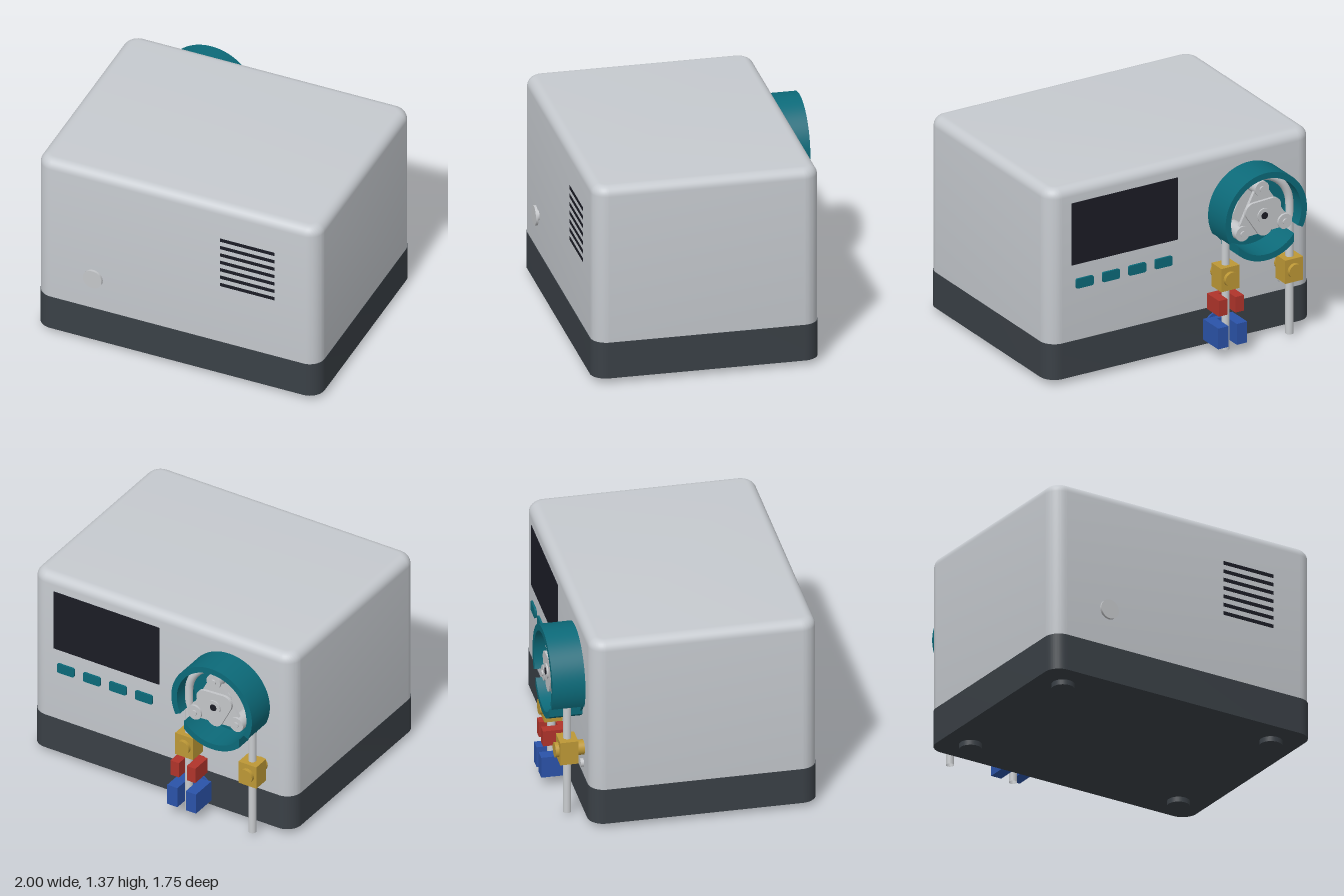
import * as THREE from 'three';
import { toCreasedNormals } from 'three/addons/utils/BufferGeometryUtils.js';

const material = (name, color, side = THREE.FrontSide) => {
  const m = new THREE.MeshStandardMaterial({ color, side });
  m.name = name;
  return m;
};

export function createModel() {
  const model = new THREE.Group();
  model.name = 'pumpUnit';
  const grey = material('housing grey', 0xc6cacf);
  const dark = material('base charcoal', 0x3a4046);
  const black = material('screen black', 0x1b1c25);
  const teal = material('teal', 0x0c6a79);
  const silver = material('silver', 0xc4c6c9);
  const tubing = material('tubing', 0xc9cccf, THREE.DoubleSide);
  const brass = material('brass', 0xbd9836);
  const red = material('red', 0xb0342b);
  const blue = material('blue', 0x2b53a9);

  const add = (name, geometry, mat, parent = model) => {
    const mesh = new THREE.Mesh(geometry, mat);
    mesh.name = name;
    parent.add(mesh);
    return mesh;
  };
  // Box given by its limits on each axis
  const box = (name, mat, [x0, x1], [y0, y1], [z0, z1], parent) =>
    add(name, new THREE.BoxGeometry(x1 - x0, y1 - y0, z1 - z0), mat, parent)
      .position.set((x0 + x1) / 2, (y0 + y1) / 2, (z0 + z1) / 2);
  // Cylinder along z between z0 and z1
  const rod = (name, mat, r, x, y, z0, z1, parent) =>
    add(name, new THREE.CylinderGeometry(r, r, z1 - z0, 40).rotateX(Math.PI / 2), mat, parent)
      .position.set(x, y, (z0 + z1) / 2);
  // Shape extruded along z between z0 and z1
  const slab = (name, mat, shape, x, y, z0, z1, parent) =>
    add(name, toCreasedNormals(new THREE.ExtrudeGeometry(shape,
      { depth: z1 - z0, bevelEnabled: false, curveSegments: 32 }), 0.6), mat, parent)
      .position.set(x, y, z0);
  const roundedRect = (hw, hh, r) => {
    const s = new THREE.Shape();
    s.absarc(hw - r, hh - r, r, 0, Math.PI / 2);
    s.absarc(-hw + r, hh - r, r, Math.PI / 2, Math.PI);
    s.absarc(-hw + r, -hh + r, r, Math.PI, Math.PI * 1.5);
    s.absarc(hw - r, -hh + r, r, Math.PI * 1.5, Math.PI * 2);
    return s;
  };

  // Housing: rounded footprint with softened top edge; lower bevel sits inside the base
  const midZ = 0.092, bevel = 0.065;
  const shell = new THREE.ExtrudeGeometry(roundedRect(0.998 - bevel, 0.75 - bevel, 0.04), {
    depth: 1.37 - 0.285 - bevel, bevelSize: bevel, bevelThickness: bevel, bevelSegments: 8, curveSegments: 10,
  }).rotateX(-Math.PI / 2);
  add('housing', toCreasedNormals(shell, 0.5), grey).position.set(0, 0.285, midZ);
  const tray = new THREE.ExtrudeGeometry(roundedRect(1, 0.754, 0.105),
    { depth: 0.25, bevelEnabled: false, curveSegments: 12 }).rotateX(-Math.PI / 2);
  add('base', toCreasedNormals(tray, 0.5), dark).position.set(0, 0.035, midZ);

  // Feet
  for (const x of [-0.8, 0.8]) for (const z of [midZ - 0.55, midZ + 0.55]) {
    add('foot', new THREE.CylinderGeometry(0.075, 0.075, 0.04, 32), dark).position.set(x, 0.02, z);
  }

  // Front vents and knob
  for (let i = 0; i < 7; i++) {
    const y = 0.745 + i * 0.0595;
    box('ventSlot', black, [0.305, 0.69], [y - 0.0125, y + 0.0125], [0.838, 0.844]);
  }
  rod('knobStem', silver, 0.035, -0.585, 0.535, 0.835, 0.858);
  rod('knob', silver, 0.067, -0.585, 0.535, 0.856, 0.873);

  // Rear screen and buttons
  box('screen', black, [0.02, 0.825], [0.82, 1.257], [-0.663, -0.655]);
  for (let i = 0; i < 4; i++) {
    slab('button', teal, roundedRect(0.065, 0.034, 0.012), 0.133 + i * 0.199, 0.685, -0.672, -0.65);
  }

  // Pump ring: upper arc and lower arc, parted by two vertical slots for the tubing
  const pump = new THREE.Group();
  pump.name = 'pumpHead';
  pump.position.set(-0.517, 0.937, 0);
  model.add(pump);
  const R = 0.308, r = 0.266, wide = 0.277, narrow = 0.21;
  const upper = new THREE.Shape();
  const a0 = -Math.acos(wide / R);
  upper.absarc(0, 0, R, a0, Math.PI - a0);
  upper.absarc(0, 0, r, Math.PI - a0, a0, true);
  slab('upperRing', teal, upper, 0, 0, -0.875, -0.655, pump);
  const lower = new THREE.Shape();
  const b0 = Math.acos(narrow / R), b1 = Math.acos(narrow / r);
  lower.absarc(0, 0, R, b0 - Math.PI, -b0);
  lower.absarc(0, 0, r, -b1, b1 - Math.PI, true);
  slab('lowerRing', teal, lower, 0, 0, -0.875, -0.655, pump);
  rod('ringBack', teal, 0.29, 0, 0, -0.672, -0.655, pump);

  // Rotor: two three-lobed plates carrying rollers, with a cover plate and hub
  const trefoil = (reach, lobe, turn) => {
    const s = new THREE.Shape();
    for (let i = 0; i < 3; i++) {
      const a = turn + i * Math.PI * 2 / 3;
      s.absarc(Math.cos(a) * reach, Math.sin(a) * reach, lobe, a - Math.PI / 3, a + Math.PI / 3);
    }
    return s;
  };
  const turn = 1.52;
  slab('rotorBackPlate', silver, trefoil(0.17, 0.045, turn), 0, 0, -0.71, -0.69, pump);
  slab('rotorPlate', silver, trefoil(0.17, 0.045, turn), 0, 0, -0.825, -0.803, pump);
  slab('rotorCover', silver, trefoil(0.085, 0.06, turn + Math.PI), 0, 0, -0.845, -0.825, pump);
  for (let i = 0; i < 3; i++) {
    const a = turn + i * Math.PI * 2 / 3;
    const x = Math.cos(a) * 0.185, y = Math.sin(a) * 0.185;
    rod('roller', silver, 0.052, x, y, -0.84, -0.685, pump);
    rod('rollerPin', silver, 0.02, x, y, -0.85, -0.84, pump);
  }
  rod('hub', silver, 0.05, 0, 0, -0.855, -0.67, pump);
  rod('shaftHole', black, 0.024, 0, 0, -0.858, -0.852, pump);

  // Tubing: up, over the rollers and down again
  const tubeZ = -0.765, bend = 0.242;
  const path = [];
  for (const y of [0.02, 0.3, 0.6, 0.8]) path.push(new THREE.Vector3(-0.517 + bend, y, tubeZ));
  for (let i = 0; i <= 16; i++) {
    const a = Math.PI * i / 16;
    path.push(new THREE.Vector3(-0.517 + bend * Math.cos(a), 0.937 + bend * Math.sin(a), tubeZ));
  }
  for (const y of [0.8, 0.6, 0.3, 0.02]) path.push(new THREE.Vector3(-0.517 - bend, y, tubeZ));
  add('tube', new THREE.TubeGeometry(new THREE.CatmullRomCurve3(path), 140, 0.027, 16), tubing);

  // Brass tube holders
  const inX = -0.275, outX = -0.759;
  for (const [x, y] of [[inX, 0.537], [outX, 0.485]]) {
    box('tubeHolder', brass, [x - 0.068, x + 0.068], [y - 0.082, y + 0.082], [-0.825, -0.705]);
    rod('holderBolt', brass, 0.05, x, y, -0.85, -0.65);
  }

  // Forked clamps around the inlet tube
  const fork = (name, mat, y0, y1, half, zBack, zTip, prong) => {
    const g = new THREE.Group();
    g.name = name;
    model.add(g);
    box('clampBridge', mat, [inX - half, inX + half], [y0, y1], [zBack - 0.04, zBack], g);
    for (const s of [-1, 1]) {
      const c = inX + s * (half - prong / 2);
      box('clampProng', mat, [c - prong / 2, c + prong / 2], [y0, y1], [zTip, zBack - 0.04], g);
    }
    return g;
  };
  const pinch = fork('pinchClamp', red, 0.295, 0.405, 0.095, -0.69, -0.84, 0.065);
  box('pinchMount', red, [inX - 0.05, inX + 0.05], [0.315, 0.385], [-0.69, -0.65], pinch);
  const sensor = fork('flowSensor', blue, 0.073, 0.22, 0.11, -0.67, -0.855, 0.078);
  rod('sensorFlange', blue, 0.105, inX, 0.145, -0.675, -0.65, sensor);

  // Small wall stud behind the outlet tube
  rod('wallStud', silver, 0.028, outX, 0.37, -0.68, -0.65);

  return model;
}
